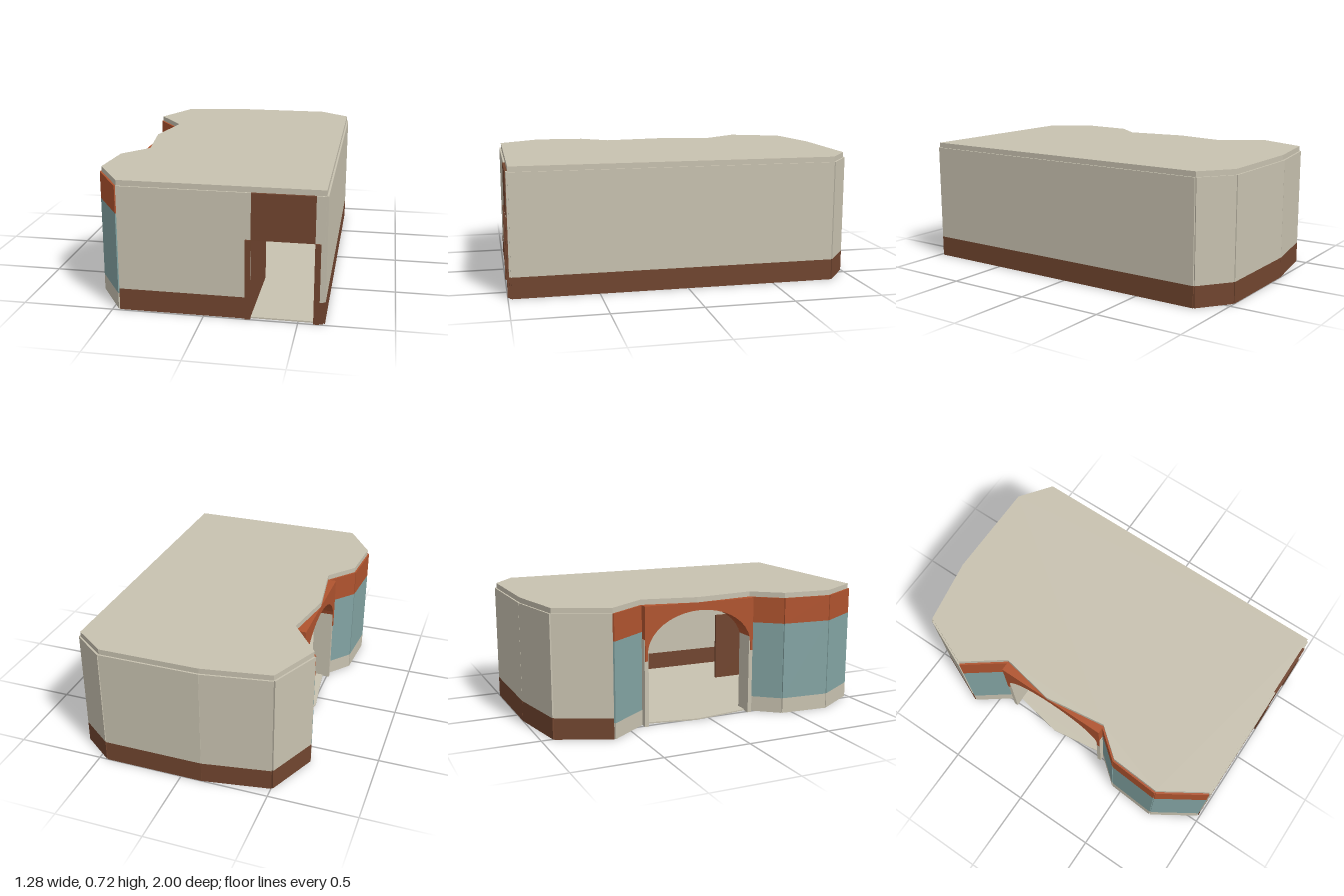
import * as THREE from 'three';

export function createModel() {
  const model = new THREE.Group();
  const mat = (name, color) => {
    const m = new THREE.MeshStandardMaterial({ color });
    m.name = name;
    return m;
  };
  const plaster = mat('plaster', 0xc8c2b0);
  const brown = mat('brown wood', 0x71452f);
  const rust = mat('rust trim', 0xb0542f);
  const glass = mat('window glass', 0x83a4a3);

  const add = (name, geometry, material) => {
    const mesh = new THREE.Mesh(geometry, material);
    mesh.name = name;
    model.add(mesh);
    return mesh;
  };
  // Box given by its limits on each axis
  const box = (name, material, x0, x1, y0, y1, z0, z1) => {
    const mesh = add(name, new THREE.BoxGeometry(x1 - x0, y1 - y0, z1 - z0), material);
    mesh.position.set((x0 + x1) / 2, (y0 + y1) / 2, (z0 + z1) / 2);
    return mesh;
  };

  const WALL = 0.69, BASE = 0.12, T = 0.01;

  // Plan corners (x, z), clockwise from the front corner of the window bay
  const plan = [
    [-0.46, 0.98], [-0.62, 0.73], [-0.6, 0.44], [-0.47, 0.28], [-0.52, -0.08], [-0.46, -0.4],
    [-0.63, -0.63], [-0.5, -0.925], [-0.12, -0.99], [0.45, -0.99], [0.63, -0.855], [0.63, 0.98],
  ];
  const slab = (name, y, height) => {
    const shape = new THREE.Shape(plan.map(([x, z]) => new THREE.Vector2(x, -z)));
    const g = new THREE.ExtrudeGeometry(shape, { depth: height, bevelEnabled: false });
    g.rotateX(-Math.PI / 2).translate(0, y, 0);
    add(name, g, plaster);
  };
  slab('floor', 0, 0.008);
  slab('roof', WALL, 0.03);

  // Thin panel standing just outside the line from a to b
  const panel = (name, material, a, b, y0, y1) => {
    const dx = b[0] - a[0], dz = b[1] - a[1], len = Math.hypot(dx, dz);
    const mesh = add(name, new THREE.BoxGeometry(len, y1 - y0, T), material);
    mesh.position.set(
      (a[0] + b[0]) / 2 + (dz / len) * T / 2, (y0 + y1) / 2, (a[1] + b[1]) / 2 - (dx / len) * T / 2);
    mesh.rotation.y = Math.atan2(-dz, dx);
  };
  const solidWall = (a, b) => {
    panel('wallBase', brown, a, b, 0, BASE);
    panel('wall', plaster, a, b, BASE, WALL);
  };
  const windowWall = (a, b) => {
    panel('windowSill', plaster, a, b, 0, 0.09);
    panel('window', glass, a, b, 0.09, 0.54);
    panel('windowHeader', rust, a, b, 0.54, WALL);
  };
  for (const i of [0, 1, 2, 5]) windowWall(plan[i], plan[i + 1]);
  for (const i of [6, 7, 8, 9, 10]) solidWall(plan[i], plan[i + 1]);

  // Front wall on both sides of the doorway
  const D0 = 0.25, D1 = 0.58, DOOR = 0.44;
  solidWall([0.63, 0.98], [D1, 0.98]);
  solidWall([D0, 0.98], [-0.46, 0.98]);
  box('doorLintel', brown, D0, D1, DOOR, WALL, 0.98, 0.995);
  box('doorPost', brown, D0 - 0.03, D0, 0, DOOR, 0.978, 1);
  box('doorPost', brown, D1, D1 + 0.03, 0, DOOR, 0.978, 1);
  // Partition running inward beside the door
  box('partition', brown, D0 - 0.015, D0, 0, DOOR, 0.43, 0.98);

  // Arched entrance on the side, with its jambs
  const half = 0.34, rx = 0.325, spring = 0.42, mid = -0.06;
  const arch = new THREE.Shape();
  arch.moveTo(-half, WALL);
  arch.lineTo(-half, spring - 0.04);
  arch.lineTo(-rx, spring - 0.04);
  arch.lineTo(-rx, spring);
  arch.absellipse(0, spring, rx, 0.225, Math.PI, 0, true);
  arch.lineTo(rx, spring - 0.04);
  arch.lineTo(half, spring - 0.04);
  arch.lineTo(half, WALL);
  const archGeo = new THREE.ExtrudeGeometry(arch, { depth: 0.12, bevelEnabled: false, curveSegments: 10 });
  archGeo.rotateY(Math.PI / 2).translate(-0.52, 0, mid);
  add('entranceArch', archGeo, rust);
  for (const s of [-1, 1]) {
    const z = mid + s * (half - 0.01);
    box('entranceJamb', plaster, -0.515, -0.4, 0, 0.5, z - 0.012, z + 0.012);
  }
  return model;
}
